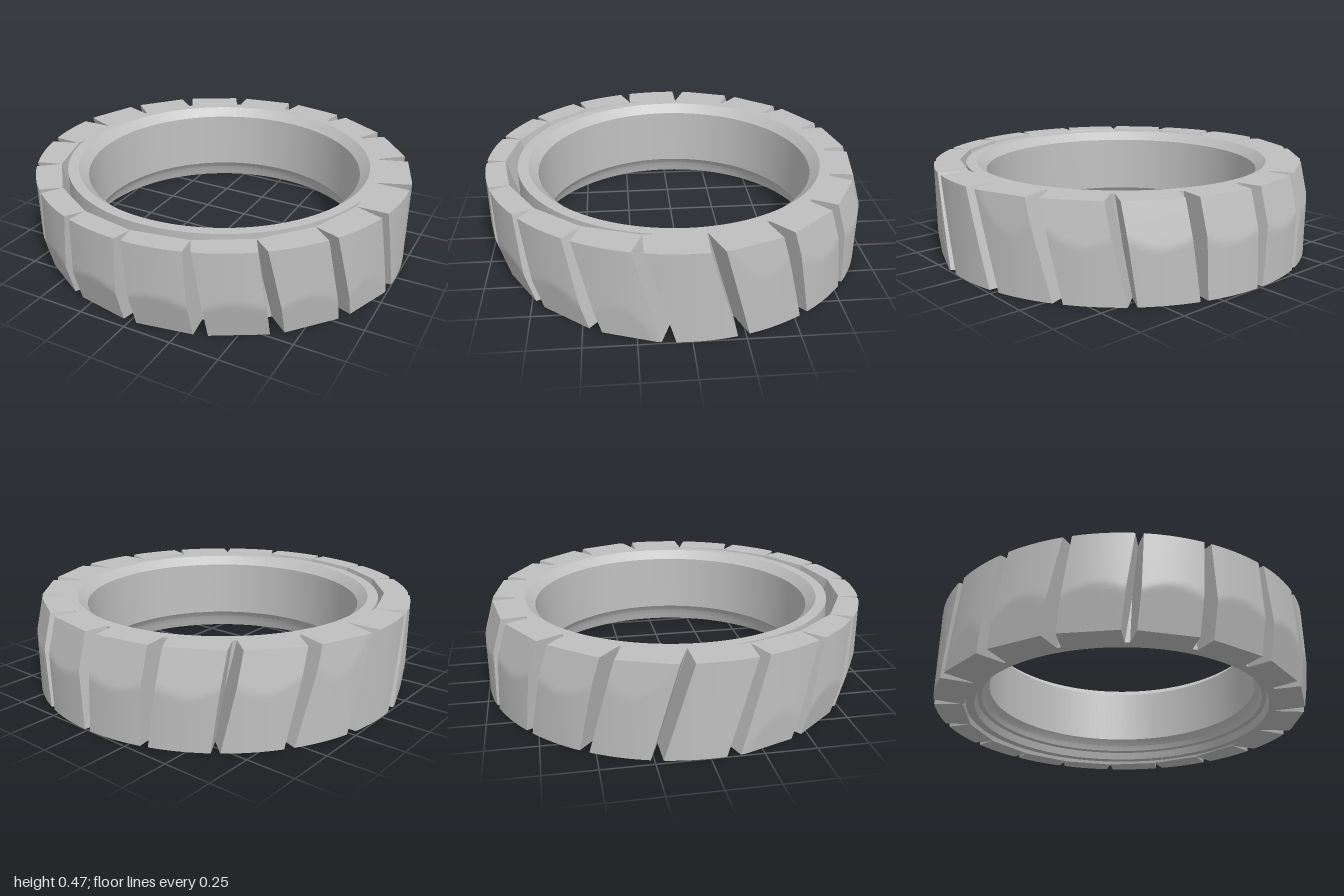
import * as THREE from 'three';
import { toCreasedNormals } from 'three/addons/utils/BufferGeometryUtils.js';

const HEIGHT = 0.47, LEAN = 0.29, BLOCKS = 18;
const RIM = 0.835, TREAD = 1.022, OUTER = 1, GROOVE = 0.035;

// Fraction along a -> b at which the segment crosses a circle of radius r
function crossing(a, b, r) {
  const d = b.clone().sub(a);
  const A = d.dot(d), B = a.dot(d), C = a.dot(a) - r * r;
  return (-B + Math.sqrt(Math.max(0, B * B - A * C))) / A;
}

// One leaning tread block, trimmed to an upright outer cylinder
function blockGeometry(phi) {
  const rows = 24, cols = 14, half = Math.PI / BLOCKS;
  const radial = new THREE.Vector2(Math.sin(phi), Math.cos(phi));
  const tangent = new THREE.Vector2(Math.cos(phi), -Math.sin(phi));
  const at = (r, t, shift) => new THREE.Vector2(
    radial.x * r + tangent.x * t, radial.y * r + tangent.y * t + shift);
  const pos = [], index = [], loop = 2 * (cols + 1);

  for (let i = 0; i <= rows; i++) {
    const y = HEIGHT * i / rows, shift = LEAN * (y - HEIGHT / 2);
    const outer = [], inner = [];
    for (let j = 0; j <= cols; j++) {
      const u = 2 * j / cols - 1;
      const a = at(RIM * Math.cos(half), u * RIM * Math.sin(half), shift);
      const b = at(TREAD * Math.cos(half), u * (TREAD * Math.sin(half) - GROOVE), shift);
      const t0 = a.length() < 0.8 ? crossing(a, b, 0.8) : 0;
      const t1 = b.length() > OUTER ? crossing(a, b, OUTER) : 1;
      inner.unshift(a.clone().lerp(b, t0));
      outer.push(a.clone().lerp(b, t1));
    }
    for (const p of [...outer, ...inner]) pos.push(p.x, y, p.y);
  }
  const quad = (a, b, c, d) => index.push(a, b, c, a, c, d);
  for (let i = 0; i < rows; i++) {
    for (let k = 0; k < loop; k++) {
      const n = (k + 1) % loop, lo = i * loop, hi = lo + loop;
      quad(lo + k, lo + n, hi + n, hi + k);
    }
  }
  // Flat top and bottom
  const top = rows * loop;
  for (let j = 0; j < cols; j++) {
    const a = j, b = j + 1, c = loop - 2 - j, d = loop - 1 - j;
    quad(top + a, top + b, top + c, top + d);
    quad(d, c, b, a);
  }
  const geo = new THREE.BufferGeometry();
  geo.setAttribute('position', new THREE.Float32BufferAttribute(pos, 3));
  geo.setIndex(index);
  return toCreasedNormals(geo, 0.5);
}

export function createModel() {
  const model = new THREE.Group();
  model.name = 'treadedRing';
  const grey = new THREE.MeshStandardMaterial({ color: 0xbfbfbf });
  grey.name = 'grey';

  // Rim: flared top, straight bore and a stepped flare at the bottom
  const profile = [
    [0.79, 0], [RIM, 0], [RIM, HEIGHT], [0.78, HEIGHT], [0.73, 0.425],
    [0.72, 0.11], [0.745, 0.075], [0.755, 0.045], [0.778, 0.04], [0.79, 0],
  ].map(([r, y]) => new THREE.Vector2(r, y));
  const rim = new THREE.Mesh(toCreasedNormals(new THREE.LatheGeometry(profile, 144), 0.3), grey);
  rim.name = 'rim';
  model.add(rim);

  // Tread blocks separated by slanted wedge grooves
  const tread = new THREE.Group();
  tread.name = 'tread';
  for (let i = 0; i < BLOCKS; i++) {
    const block = new THREE.Mesh(blockGeometry((i + 0.5) * 2 * Math.PI / BLOCKS), grey);
    block.name = 'treadBlock' + (i + 1);
    tread.add(block);
  }
  model.add(tread);
  return model;
}
